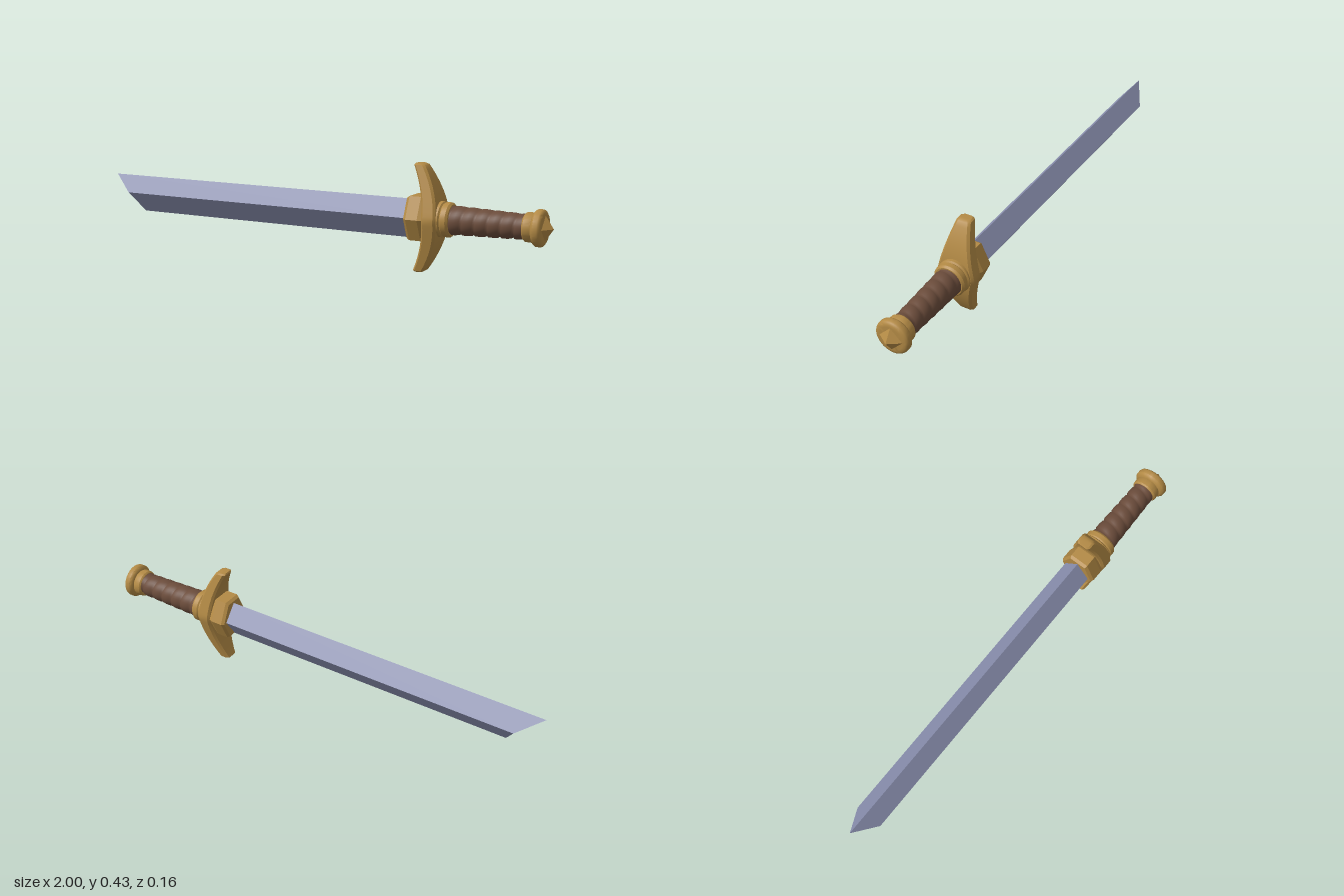
import * as THREE from 'three';
import { toCreasedNormals } from 'three/addons/utils/BufferGeometryUtils.js';

const CY = 0.2135; // height of the sword's long axis

// Skin closed rings (counter-clockwise seen from the far end) and cap both ends
function loft(rings, crease = 0.6) {
  const n = rings[0].length, pos = rings.flat(2), index = [];
  for (let i = 0; i < rings.length - 1; i++) {
    for (let j = 0; j < n; j++) {
      const a = i * n + j, b = i * n + (j + 1) % n;
      index.push(a, b, b + n, a, b + n, a + n);
    }
  }
  const last = (rings.length - 1) * n;
  for (let j = 1; j < n - 1; j++) {
    index.push(0, j + 1, j, last, last + j, last + j + 1);
  }
  const g = new THREE.BufferGeometry();
  g.setAttribute('position', new THREE.Float32BufferAttribute(pos, 3));
  g.setIndex(index);
  return toCreasedNormals(g, crease);
}

// Turned part along x from [x, radius] pairs
function turned(profile, segments = 40) {
  const g = new THREE.LatheGeometry(profile.map(([x, r]) => new THREE.Vector2(r, x)), segments);
  g.rotateZ(-Math.PI / 2);
  g.translate(0, CY, 0);
  return toCreasedNormals(g, 0.6);
}

// Diamond-section blade; the tip is folded inward along the side ridges
function bladeGeometry() {
  const ring = (side, bottom, top) => [
    [side, 0.215, 0.058], [bottom, 0.13, 0], [side, 0.215, -0.058], [top, 0.284, 0],
  ];
  return loft([ring(-0.9, -0.85, -1), ring(0.45, 0.45, 0.45)], 0.1);
}

// Hexagonal collar with chamfered ends
function collarGeometry() {
  const ring = (x, s) => [[0, 0.08], [-0.087, 0.04], [-0.087, -0.04], [0, -0.08], [0.087, -0.04], [0.087, 0.04]]
    .map(([y, z]) => [x, CY + y * s, z * s]);
  return loft([ring(0.422, 0.9), ring(0.434, 1), ring(0.482, 1), ring(0.505, 0.88)], 0.2);
}

// Crescent guard: bevelled section swept upward, narrowing to both tips
function guardGeometry() {
  const section = (t, inset) => {
    const y = CY + CY * t, c = 0.009;
    const w = 0.083 - 0.054 * Math.sqrt(t * t + 0.001) - inset;
    const xo = 0.557 - 0.071 * t * t - inset, xi = 0.497 - 0.056 * t * t + inset;
    return [
      [xo - c, w], [xo, w - c], [xo, c - w], [xo - c, -w],
      [xi + c, -w], [xi, c - w], [xi, w - c], [xi + c, w],
    ].map(([x, z]) => [x, y, z]);
  };
  const rings = [section(-1, 0.006)];
  const steps = 24;
  for (let i = 0; i <= steps; i++) rings.push(section((i / steps * 2 - 1) * 0.975, 0));
  rings.push(section(1, 0.006));
  return loft(rings);
}

// Tapered grip whose surface follows a helical strap with narrow grooves
function gripGeometry() {
  const x0 = 0.585, x1 = 0.9, pitch = 0.052, around = 36;
  const strap = [[0, -0.005], [0.12, 0.001], [0.5, 0.002], [0.88, 0]];
  const pos = [], index = [];
  let rows = 0;
  for (let k = -1; k < 8; k++) {
    for (const [f, bump] of strap) {
      for (let j = 0; j <= around; j++) {
        const turn = j / around, a = turn * Math.PI * 2;
        const x = THREE.MathUtils.clamp(x0 + pitch * (k + f + turn), x0, x1);
        const r = THREE.MathUtils.lerp(0.056, 0.047, (x - x0) / (x1 - x0)) + bump;
        pos.push(x, CY - r * Math.cos(a), r * Math.sin(a));
      }
      rows++;
    }
  }
  const n = around + 1;
  for (let i = 0; i < rows - 1; i++) {
    for (let j = 0; j < around; j++) {
      const a = i * n + j, b = a + 1;
      index.push(a, b + n, b, a, a + n, b + n);
    }
  }
  const g = new THREE.BufferGeometry();
  g.setAttribute('position', new THREE.Float32BufferAttribute(pos, 3));
  g.setIndex(index);
  g.computeVertexNormals();
  return g;
}

// Four-sided stud on the pommel, with its edges on the y and z axes
function studGeometry() {
  const g = new THREE.ConeGeometry(0.053, 0.036, 4).toNonIndexed();
  g.computeVertexNormals();
  g.rotateZ(-Math.PI / 2);
  g.translate(0.982, CY, 0);
  return g;
}

export function createModel() {
  const steel = new THREE.MeshStandardMaterial({ color: 0x8b90b0 });
  steel.name = 'steel';
  const brass = new THREE.MeshStandardMaterial({ color: 0xb38a45 });
  brass.name = 'brass';
  const leather = new THREE.MeshStandardMaterial({ color: 0x6b4c3b, side: THREE.DoubleSide });
  leather.name = 'leather';

  const sword = new THREE.Group();
  sword.name = 'sword';
  const add = (name, geometry, material) => {
    const mesh = new THREE.Mesh(geometry, material);
    mesh.name = name;
    sword.add(mesh);
  };

  add('blade', bladeGeometry(), steel);
  add('collar', collarGeometry(), brass);
  add('guard', guardGeometry(), brass);
  add('ferrule', turned([
    [0.53, 0], [0.53, 0.07], [0.562, 0.07], [0.567, 0.064], [0.572, 0.068],
    [0.592, 0.068], [0.6, 0.061], [0.6, 0],
  ]), brass);
  add('grip', gripGeometry(), leather);
  add('pommelNeck', turned([
    [0.89, 0], [0.89, 0.051], [0.896, 0.056], [0.92, 0.057], [0.927, 0.053], [0.935, 0.053], [0.935, 0],
  ]), brass);
  add('pommelDisc', turned([
    [0.926, 0], [0.926, 0.058], [0.932, 0.067], [0.938, 0.071], [0.955, 0.071],
    [0.961, 0.068], [0.966, 0.06], [0.967, 0.05], [0.967, 0],
  ]), brass);
  add('pommelStud', studGeometry(), brass);
  return sword;
}
